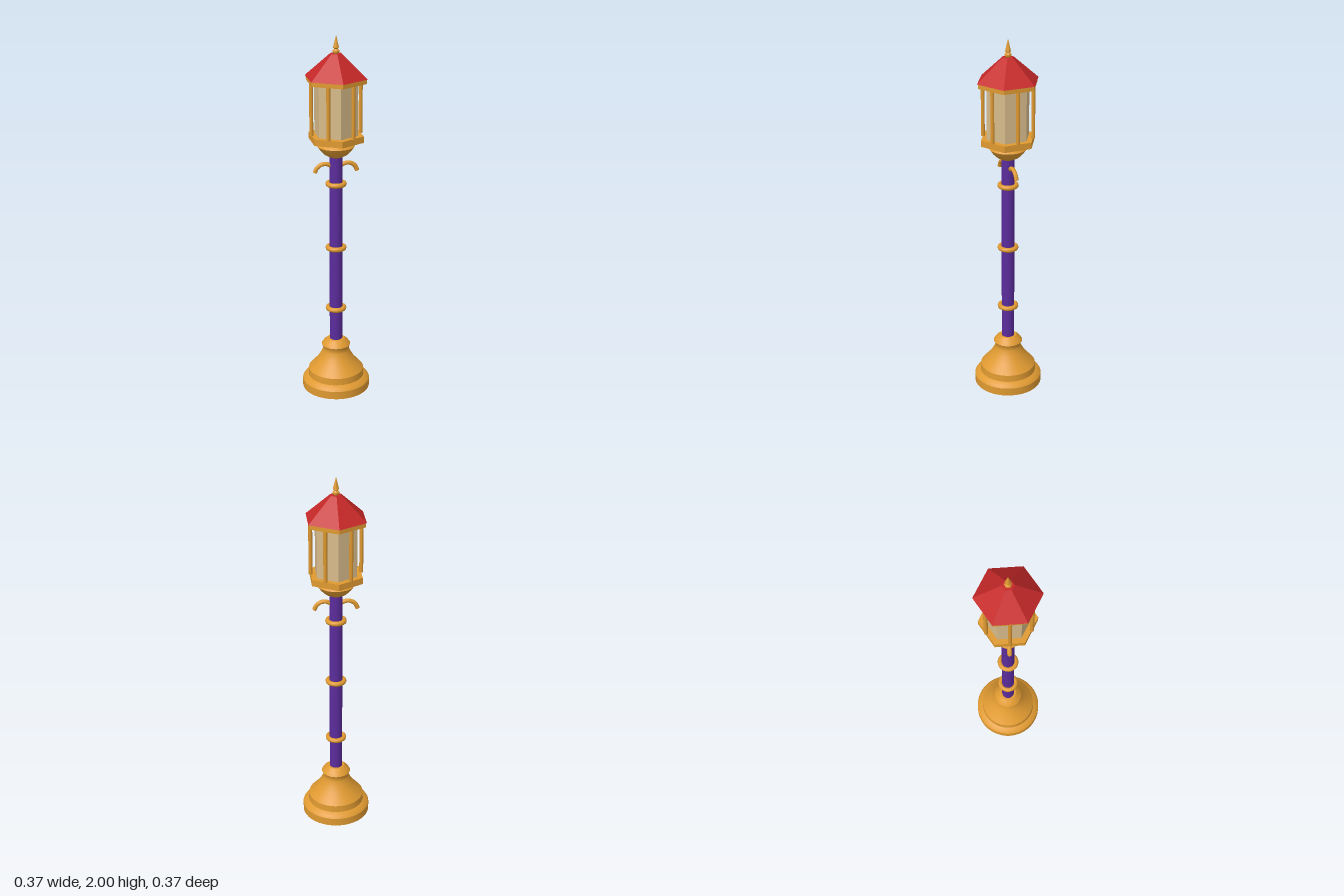
import * as THREE from 'three';
import { toCreasedNormals } from 'three/addons/utils/BufferGeometryUtils.js';

export function createModel() {
  const root = new THREE.Group();
  root.name = 'streetLamp';

  const material = (name, color, flatShading = false) => {
    const m = new THREE.MeshStandardMaterial({ color });
    m.name = name;
    m.flatShading = flatShading;
    return m;
  };
  const gold = material('gold', 0xe09a31);
  const purple = material('purple', 0x5b2c9c);
  const red = material('red', 0xc62828);
  const glass = material('warmGlass', 0xd8bb8a);

  const add = (name, geometry, mat, x = 0, y = 0, z = 0) => {
    const mesh = new THREE.Mesh(geometry, mat);
    mesh.name = name;
    mesh.position.set(x, y, z);
    root.add(mesh);
    return mesh;
  };
  // Turned part from [radius, height] points
  const turned = (points, sides, crease = 0.6) => toCreasedNormals(
    new THREE.LatheGeometry(points.map(([r, y]) => new THREE.Vector2(r, y)), sides), crease);
  // Six-sided block between two heights, corners on the z axis
  const hex = (name, rTop, rBottom, y0, y1, mat) => add(name,
    toCreasedNormals(new THREE.CylinderGeometry(rTop, rBottom, y1 - y0, 6), 0.3), mat, 0, (y0 + y1) / 2);

  // Bell-shaped foot
  add('base', turned([[0, 0], [0.187, 0], [0.187, 0.045], [0.178, 0.058], [0.155, 0.07],
    [0.153, 0.108], [0.135, 0.128], [0.107, 0.16], [0.088, 0.19], [0.073, 0.22],
    [0.071, 0.235], [0.08, 0.255], [0.068, 0.272], [0.047, 0.29], [0, 0.29]], 40), gold);

  // Post with three rings
  add('post', new THREE.CylinderGeometry(0.035, 0.035, 1.1, 24), purple, 0, 0.83);
  for (const y of [0.475, 0.835, 1.2]) {
    add('postRing', new THREE.TorusGeometry(0.044, 0.0135, 10, 28).rotateX(Math.PI / 2), gold, 0, y);
  }

  // Curled side hooks
  for (const side of [-1, 1]) {
    const path = new THREE.CatmullRomCurve3(Array.from({ length: 9 }, (_, i) => {
      const a = Math.PI * (0.93 - 0.86 * i / 8);
      return new THREE.Vector3(side * (0.062 + 0.054 * Math.cos(a)), 1.256 + 0.058 * Math.sin(a), 0);
    }));
    add('hook', new THREE.TubeGeometry(path, 16, 0.012, 8), gold);
    // End cap
    const cap = add('hookEnd', new THREE.CircleGeometry(0.012, 8), gold);
    cap.position.copy(path.getPoint(1));
    cap.lookAt(path.getPoint(1).add(path.getTangent(1)));
  }

  // Cup under the lantern
  add('cup', turned([[0, 1.352], [0.036, 1.352], [0.062, 1.366], [0.083, 1.387],
    [0.1, 1.412], [0.092, 1.422], [0.065, 1.438], [0, 1.44]], 28), gold);

  // Lantern
  hex('lanternFloor', 0.152, 0.152, 1.44, 1.475, gold);
  hex('lanternGlass', 0.12, 0.12, 1.475, 1.755, glass);
  hex('lanternTopFrame', 0.165, 0.165, 1.755, 1.779, gold);
  hex('roof', 0.031, 0.171, 1.779, 1.904, red);
  for (let i = 0; i < 6; i++) {
    const a = i * Math.PI / 3;
    add('lanternBar', new THREE.CylinderGeometry(0.0105, 0.0105, 0.282, 8), gold,
      0.132 * Math.cos(a), 1.616, 0.132 * Math.sin(a));
  }

  // Spike on the roof
  add('finial', turned([[0, 1.9], [0.011, 1.9], [0.018, 1.912], [0.018, 1.92],
    [0.01, 1.929], [0.016, 1.935], [0, 2]], 8, 0.3), gold);

  return root;
}
